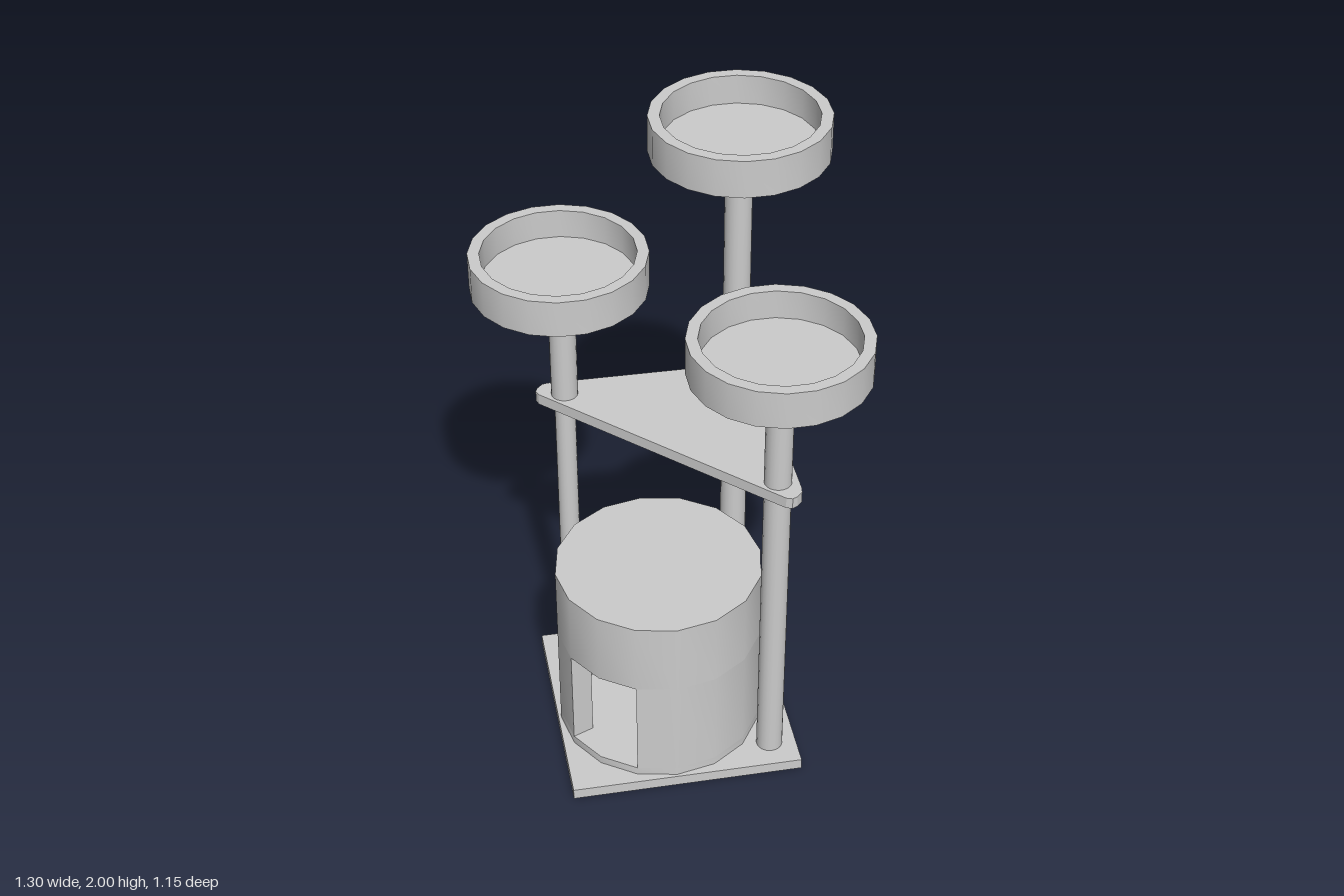
import * as THREE from 'three';
import { toCreasedNormals } from 'three/addons/utils/BufferGeometryUtils.js';

const material = new THREE.MeshStandardMaterial({ color: 0xcccccc });
const openMaterial = new THREE.MeshStandardMaterial({ color: 0xcccccc, side: THREE.DoubleSide });

function add(parent, name, geometry, x = 0, y = 0, z = 0, mat = material) {
  const mesh = new THREE.Mesh(geometry, mat);
  mesh.name = name;
  mesh.position.set(x, y, z);
  parent.add(mesh);
  return mesh;
}

// Turned shape from [radius, height] pairs, with sharp rims
function turned(profile, sides, start = 0, sweep = Math.PI * 2) {
  const points = profile.map(([r, y]) => new THREE.Vector2(r, y));
  return toCreasedNormals(new THREE.LatheGeometry(points, sides, start, sweep), 0.6);
}

function addPole(parent, name, x, z, bottom, top, radius = 0.041) {
  const geometry = new THREE.CylinderGeometry(radius, radius, top - bottom, 20);
  add(parent, name, geometry, x, (bottom + top) / 2, z);
}

// Round bed: a shallow tray with a raised rim
function addTray(parent, name, x, y, z) {
  const profile = [[0, 0], [0.265, 0], [0.265, 0.116], [0.23, 0.116], [0.23, 0.025], [0, 0.025]];
  add(parent, name, turned(profile, 20), x, y, z);
}

function createHouse() {
  const house = new THREE.Group();
  house.name = 'house';
  house.position.z = 0.11;
  const R = 0.32, r = 0.25, sill = 0.063, lintel = 0.398, top = 0.637;
  const step = Math.PI / 8;
  // Floor, wall with a doorway two facets wide, and hollow roof
  add(house, 'houseFloor', turned([[0, 0.035], [R, 0.035], [R, sill], [0, sill]], 16));
  const wall = [[R, sill], [R, lintel]], lining = [[r, lintel], [r, sill]];
  add(house, 'houseWall', turned(wall, 14, step, step * 14));
  add(house, 'houseLining', turned(lining, 14, step, step * 14));
  add(house, 'houseRoof', turned(
    [[0, 0.567], [r, 0.567], [r, lintel], [R, lintel], [R, top], [0, top]], 16));
  // Door jambs close the wall thickness
  for (const side of [-1, 1]) {
    const mid = (R + r) / 2, angle = side * step;
    const jamb = add(house, side > 0 ? 'leftJamb' : 'rightJamb',
      new THREE.PlaneGeometry(R - r, lintel - sill),
      mid * Math.sin(angle), (sill + lintel) / 2, mid * Math.cos(angle), openMaterial);
    jamb.rotation.y = angle - Math.PI / 2;
  }
  return house;
}

// Triangular shelf with clipped corners, given as [x, z] on the left half
function createShelfGeometry() {
  const half = [[0.445, 0.104], [0.462, 0.096], [0.468, 0.08], [0.468, 0.055],
    [0.458, 0.04], [0.043, -0.366], [0.025, -0.375]];
  const outline = [...half, ...half.map(([x, z]) => [-x, z]).reverse()];
  const shape = new THREE.Shape(outline.map(([x, z]) => new THREE.Vector2(x, -z)));
  const geometry = new THREE.ExtrudeGeometry(shape, { depth: 0.036, bevelEnabled: false });
  return geometry.rotateX(-Math.PI / 2);
}

export function createModel() {
  const model = new THREE.Group();
  model.name = 'catTree';

  // Square base set on its corner
  const side = 0.512 * Math.SQRT2;
  add(model, 'base', new THREE.BoxGeometry(side, 0.036, side).rotateY(Math.PI / 4), 0, 0.018, 0.063);

  model.add(createHouse());
  add(model, 'shelf', createShelfGeometry(), 0, 1.05, 0);

  // Poles: the right one has a slimmer middle length
  addPole(model, 'backPole', 0, -0.307, 0.03, 1.89);
  addPole(model, 'leftPole', 0.384, 0.053, 0.03, 1.485);
  addPole(model, 'rightPoleLower', -0.384, 0.053, 0.03, 0.395);
  addPole(model, 'rightPoleMiddle', -0.384, 0.053, 0.39, 1.055, 0.032);
  addPole(model, 'rightPoleUpper', -0.384, 0.053, 1.08, 1.485);

  addTray(model, 'backTray', 0, 1.884, -0.31);
  addTray(model, 'leftTray', 0.383, 1.48, 0.06);
  addTray(model, 'rightTray', -0.383, 1.48, 0.06);

  return model;
}
